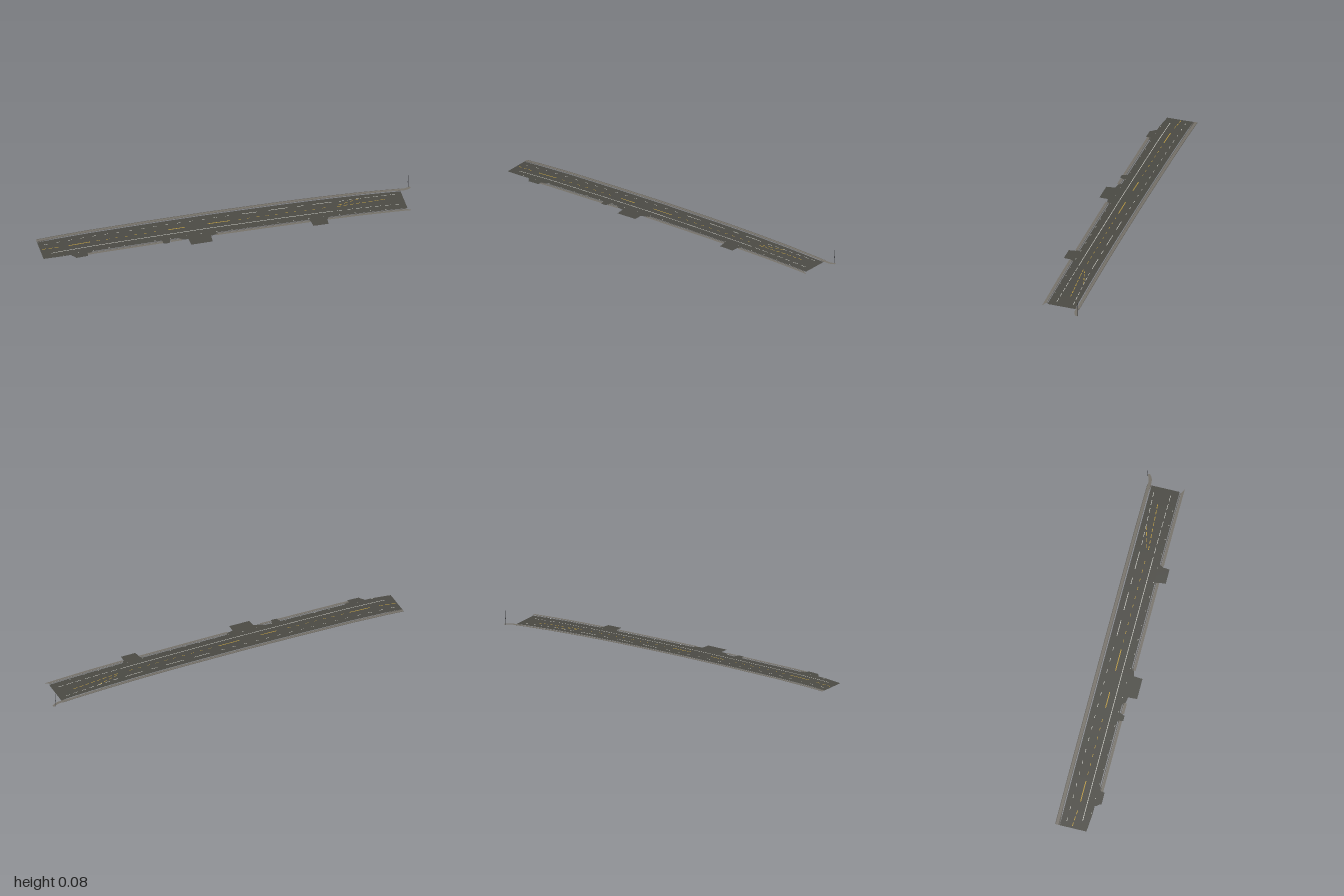
import * as THREE from 'three';

const mat = (name, color) => {
  const m = new THREE.MeshStandardMaterial({ color, side: THREE.DoubleSide });
  m.name = name;
  return m;
};

// piecewise linear lookup through [x, value] points
function lerpTable(points, x) {
  if (x <= points[0][0]) return points[0][1];
  for (let i = 1; i < points.length; i++) {
    const [x0, v0] = points[i - 1], [x1, v1] = points[i];
    if (x <= x1) return v0 + (v1 - v0) * (x - x0) / (x1 - x0);
  }
  return points[points.length - 1][1];
}

// height of the ground: a long gentle crest, tilted slightly to the front
const crest = [[-1, 0.025], [-0.9, 0.030], [-0.72, 0.035], [-0.4, 0.037], [-0.1, 0.0375], [0.1, 0.035],
  [0.3, 0.032], [0.5, 0.028], [0.7, 0.021], [0.85, 0.013], [0.94, 0.007], [1, 0.002]];
const tilt = [[-1, -0.01], [-0.4, -0.03], [0.3, -0.03], [0.94, 0.015]];
const height = (x, z) => Math.max(0.001, lerpTable(crest, x) + lerpTable(tilt, x) * z);

// thin sheet draped on the ground; rows are [x, zBack, zFront]
function sheet(name, material, rows, lift = 0) {
  const back = rows.map(r => [r[0], r[1]]), front = rows.map(r => [r[0], r[2]]);
  const xs = new Set(rows.map(r => r[0]));
  const xa = rows[0][0], xb = rows[rows.length - 1][0];
  for (let i = -50; i <= 50; i++) if (i / 50 > xa && i / 50 < xb) xs.add(i / 50);
  const pos = [], idx = [];
  [...xs].sort((a, b) => a - b).forEach((x, i) => {
    for (const z of [lerpTable(back, x), lerpTable(front, x)]) pos.push(x, height(x, z) + lift, z);
    if (i) {
      const a = 2 * i - 2;
      idx.push(a, a + 1, a + 3, a, a + 3, a + 2);
    }
  });
  const g = new THREE.BufferGeometry();
  g.setAttribute('position', new THREE.Float32BufferAttribute(pos, 3));
  g.setIndex(idx);
  g.computeVertexNormals();
  const mesh = new THREE.Mesh(g, material);
  mesh.name = name;
  return mesh;
}

export function createModel() {
  const group = new THREE.Group();
  group.name = 'roadSection';
  const asphalt = mat('asphalt', 0x4c4b45);
  const concrete = mat('concrete', 0x77736b);
  const curb = mat('curbGrey', 0x5f5c56);
  const white = mat('whitePaint', 0xc4c4bd);
  const yellow = mat('yellowPaint', 0xb5963f);
  const metal = mat('poleMetal', 0x55565a);
  const add = (...args) => group.add(sheet(...args));

  // carriageway
  add('carriageway', asphalt, [[-1, -0.094, 0.048], [-0.9, -0.094, 0.056], [0.936, -0.092, 0.058]]);

  // back sidewalk, bending away at its right end
  const bend = [[0.935, -0.113, -0.097], [0.955, -0.112, -0.096], [0.972, -0.117, -0.100],
    [0.984, -0.123, -0.106], [0.995, -0.125, -0.114]];
  add('backSidewalk', concrete, [[-1, -0.116, -0.102], [0.7, -0.114, -0.101], ...bend], 0.001);
  add('backSidewalkEdge', curb, [[-1, -0.119, -0.116], [0.7, -0.117, -0.114], [0.935, -0.115, -0.113]], 0.001);
  add('backCurb', curb, [[-1, -0.102, -0.094], [-0.9, -0.102, -0.099], [0.9, -0.101, -0.098], [0.936, -0.097, -0.092]], 0.0008);

  // front sidewalk pieces between the side roads
  for (const [a, b] of [[-0.77, -0.37], [-0.33, -0.27], [-0.085, 0.415], [0.51, 0.93]]) {
    add('frontSidewalk', concrete, [[a, 0.067, 0.080], [b, 0.067, 0.080]], 0.001);
    add('frontCurb', curb, [[a, 0.061, 0.065], [b, 0.061, 0.065]], 0.0008);
  }
  add('frontSidewalkTip', concrete, [[0.93, 0.067, 0.080], [0.955, 0.079, 0.081]], 0.001);

  // side road mouths: [flare left, left, right, flare right, front z]
  for (const [fl, l, r, fr, z] of [
    [-0.855, -0.84, -0.77, -0.745, 0.088],
    [-0.375, -0.37, -0.335, -0.328, 0.085],
    [-0.28, -0.235, -0.115, -0.075, 0.125],
    [0.41, 0.418, 0.505, 0.515, 0.113]]) {
    const wide = z > 0.12 ? 0.07 : 0.062;
    add('sideRoad', asphalt, [[fl, 0.054, wide], [l, 0.054, 0.078], [l + 0.003, 0.054, z],
      [r - 0.003, 0.054, z], [r, 0.054, 0.078], [fr, 0.054, wide]], 0.0002);
  }

  // painted lines
  const line = (name, m, x0, z0, x1, z1, w = 0.004) =>
    add(name, m, [[x0, z0 - w / 2, z0 + w / 2], [x1, z1 - w / 2, z1 + w / 2]], 0.0007);
  const dashes = (name, m, x0, z0, x1, z1, count, fill, w) => {
    for (let i = 0; i < count; i++) {
      const a = i / count, b = (i + fill) / count;
      line(name, m, x0 + (x1 - x0) * a, z0 + (z1 - z0) * a, x0 + (x1 - x0) * b, z0 + (z1 - z0) * b, w);
    }
  };
  line('laneLine', white, -0.95, 0.015, 0.55, 0.015, 0.0035);
  dashes('laneDash', white, 0.57, 0.015, 0.92, 0.018, 7, 0.7, 0.003);
  dashes('backLaneDash', white, -0.97, -0.064, 0.06, -0.062, 16, 0.3, 0.003);
  for (const [a, b] of [[0.08, 0.165], [0.225, 0.325], [0.375, 0.41], [0.46, 0.56]])
    line('backLaneLine', white, a, -0.061, b, -0.061, 0.0035);
  dashes('backTurnDash', white, 0.6, -0.06, 0.92, -0.072, 7, 0.6, 0.003);
  dashes('frontEdgeTick', white, -0.9, 0.05, 0.9, 0.05, 22, 0.08, 0.003);
  for (const [a, b] of [[-0.85, -0.735], [-0.32, -0.23], [-0.11, 0.01]])
    line('centreLine', yellow, a, -0.021, b, -0.021, 0.005);
  dashes('centreDash', yellow, -0.7, -0.021, -0.35, -0.021, 7, 0.35, 0.003);
  dashes('centreDash', yellow, 0.05, -0.021, 0.55, -0.021, 10, 0.35, 0.003);
  dashes('turnDash', yellow, 0.58, -0.019, 0.85, -0.036, 8, 0.65);
  dashes('turnDash', yellow, 0.59, -0.03, 0.72, -0.066, 4, 0.6);
  dashes('turnDash', yellow, -0.99, -0.03, -0.89, -0.023, 3, 0.65);

  // street pole with a small box
  const pole = new THREE.Group();
  pole.name = 'streetPole';
  const shaft = new THREE.Mesh(new THREE.CylinderGeometry(0.0011, 0.0013, 0.078, 8), metal);
  shaft.position.y = 0.039;
  shaft.name = 'poleShaft';
  const box = new THREE.Mesh(new THREE.BoxGeometry(0.004, 0.008, 0.002), metal);
  box.position.set(-0.002, 0.036, 0);
  box.name = 'poleBox';
  pole.add(shaft, box);
  pole.position.set(0.985, 0, -0.124);
  group.add(pole);
  return group;
}
